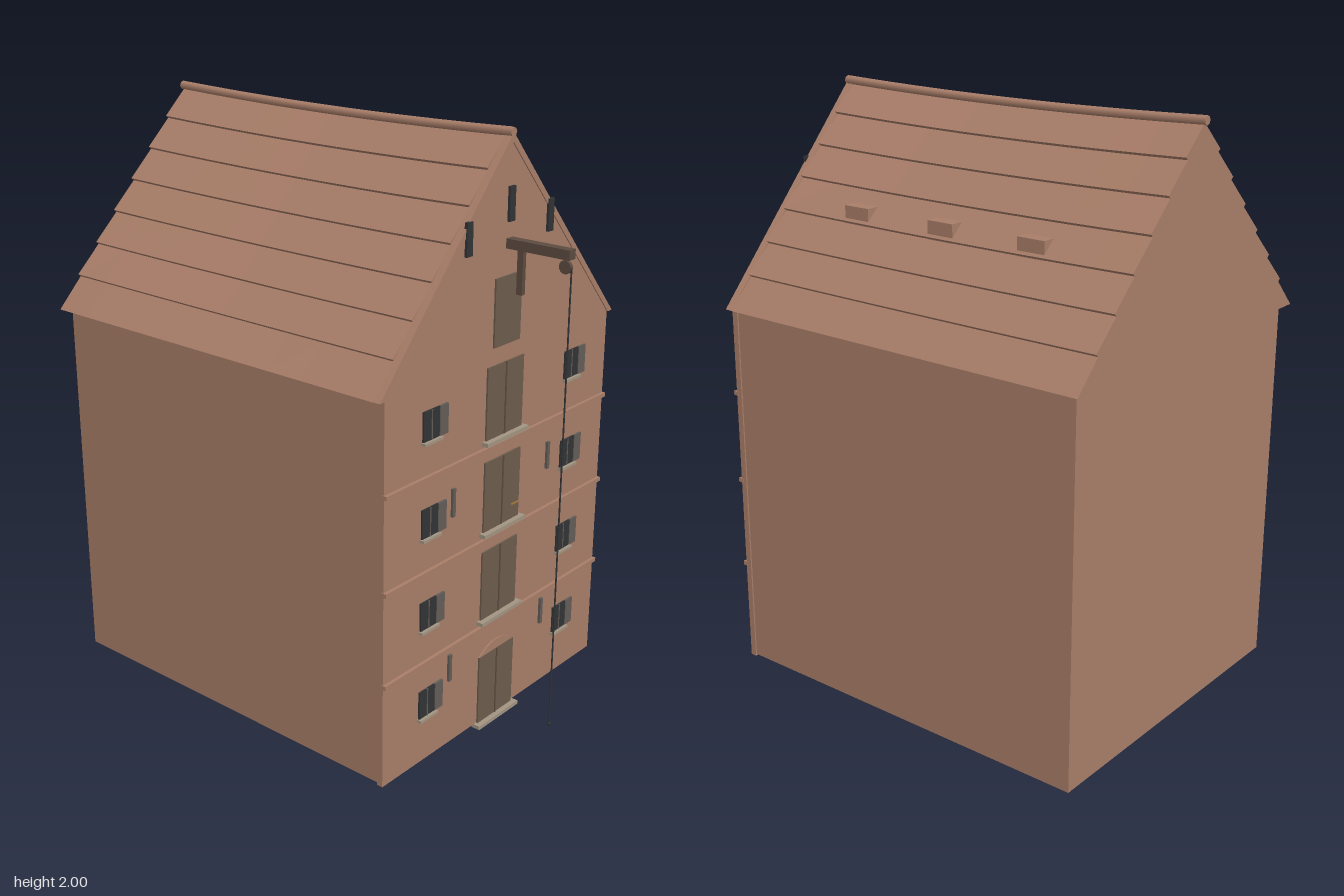
import * as THREE from 'three';

const mat = (name, color) => {
  const m = new THREE.MeshStandardMaterial({ color });
  m.name = name;
  return m;
};

export function createModel() {
  const brick = mat('brick', 0xa97e69);
  const wood = mat('door wood', 0x6d5c4d);
  const beamWood = mat('dark timber', 0x5e4c40);
  const glass = mat('dark opening', 0x313335);
  const iron = mat('grey iron', 0x635d58);
  const stone = mat('sill stone', 0xa39582);
  const brass = mat('brass', 0xa8783c);
  const group = new THREE.Group();
  const FRONT = 0.598;

  const add = (name, geometry, material) => {
    const mesh = new THREE.Mesh(geometry, material);
    mesh.name = name;
    group.add(mesh);
    return mesh;
  };
  // box given by its limits on each axis
  const box = (name, m, x0, x1, y0, y1, z0, z1) => {
    const b = add(name, new THREE.BoxGeometry(x1 - x0, y1 - y0, z1 - z0), m);
    b.position.set((x0 + x1) / 2, (y0 + y1) / 2, (z0 + z1) / 2);
    return b;
  };
  const plate = (name, m, x0, x1, y0, y1, t = 0.006) => box(name, m, x0, x1, y0, y1, FRONT - 0.002, FRONT + t);
  const outline = (pts) => new THREE.Shape(pts.map(([x, y]) => new THREE.Vector2(x, y)));
  const extrude = (shape, z0, z1, steps = 1) =>
    new THREE.ExtrudeGeometry(shape, { depth: z1 - z0, steps, bevelEnabled: false, curveSegments: 16 }).translate(0, 0, z0);

  // walls
  box('walls', brick, -0.58, 0.58, 0.02, 1.305, -0.79, 0.58);
  add('frontGableWall', extrude(outline([
    [-0.585, 0.015], [0.585, 0.015], [0.585, 1.305], [0, 1.962], [-0.585, 1.305],
  ]), 0.576, FRONT), brick);
  add('gableTrim', extrude(outline([
    [0.61, 1.3], [0, 1.985], [-0.61, 1.3], [-0.585, 1.3], [0, 1.955], [0.585, 1.3],
  ]), 0.574, 0.602), brick);

  // roof with lapped courses and a gently sagging ridge
  const Z0 = -0.815, Z1 = 0.577, COURSES = 7, LIP = 0.013;
  const sag = (y, z) => {
    const t = (z - (Z0 + Z1) / 2) / ((Z1 - Z0) / 2);
    return -0.013 * Math.max(0, (y - 1.3) / 0.68) * (1 - t * t);
  };
  const side = [];
  for (let i = 0; i < COURSES; i++) {
    const f = i / COURSES, g = (i + 1) / COURSES;
    side.push([0.602 * (1 - f) + LIP * 0.745, 1.3 + 0.678 * f + (i ? LIP * 0.667 : 0)]);
    side.push([0.602 * (1 - g), 1.3 + 0.678 * g]);
  }
  const roofShape = outline([...side, ...side.slice(0, -1).reverse().map(([x, y]) => [-x, y])]);
  const roofGeo = extrude(roofShape, Z0, Z1, 10);
  const p = roofGeo.attributes.position;
  for (let i = 0; i < p.count; i++) p.setY(i, p.getY(i) + sag(p.getY(i), p.getZ(i)));
  roofGeo.computeVertexNormals();
  add('roof', roofGeo, brick);

  const ridge = [];
  for (let i = 0; i <= 10; i++) {
    const z = -0.822 + (0.6 + 0.822) * i / 10;
    ridge.push(new THREE.Vector3(0, 1.985 + sag(1.98, z), z));
  }
  add('ridgeCap', new THREE.TubeGeometry(new THREE.CatmullRomCurve3(ridge), 20, 0.015, 8), brick);
  for (const z of [Z0 - 0.007, 0.6]) {
    const cap = add('ridgeEnd', new THREE.CylinderGeometry(0.015, 0.015, 0.004, 8), brick);
    cap.rotation.x = Math.PI / 2;
    cap.position.set(0, 1.985, z);
  }

  // small roof hatches on the left slope
  for (const z of [0.25, -0.1, -0.45]) box('roofHatch', brick, 0.29, 0.345, 1.58, 1.645, z - 0.05, z + 0.05);

  // floor bands
  for (const y of [0.372, 0.686, 1.002]) box('floorBand', brick, -0.587, 0.587, y - 0.007, y + 0.007, 0.59, 0.61);

  // loading doors with centre joint and stone threshold
  for (const [y0, y1] of [[0.015, 0.262], [0.402, 0.645], [0.717, 0.957], [1.032, 1.272]]) {
    plate('loadingDoor', wood, -0.095, 0.095, y0, y1);
    plate('doorJoint', beamWood, -0.003, 0.003, y0, y1, 0.008);
    box('threshold', stone, -0.11, 0.11, y0 - 0.013, y0, 0.59, 0.622);
  }
  plate('atticDoor', wood, -0.068, 0.068, 1.33, 1.55);
  plate('doorHandle', brass, 0.05, 0.09, 0.765, 0.77, 0.009);

  // shallow arch over the street door
  const arch = new THREE.Shape();
  arch.moveTo(0.095, 0.262);
  arch.quadraticCurveTo(0, 0.33, -0.095, 0.262);
  add('doorArch', extrude(arch, 0.59, FRONT + 0.005), brick);

  // windows, each with one open shutter
  for (const y of [0.178, 0.492, 0.806, 1.122]) {
    for (const x of [-0.41, 0.335]) {
      plate('window', glass, x, x + 0.076, y, y + 0.096);
      plate('windowBar', iron, x + 0.036, x + 0.04, y, y + 0.096, 0.008);
      plate('shutter', iron, x + 0.076, x + 0.116, y, y + 0.096, 0.008);
      box('windowSill', stone, x - 0.005, x + 0.083, y - 0.009, y, 0.59, 0.615);
    }
  }

  // wall anchors and gable slits
  for (const s of [-1, 1]) {
    for (const y of [0.25, 0.83]) plate('wallAnchor', iron, s * 0.256 - 0.007, s * 0.256 + 0.007, y, y + 0.095, 0.009);
    plate('gableSlit', glass, s * 0.21 - 0.014, s * 0.21 + 0.014, 1.648, 1.752, 0.009);
  }
  plate('gableSlit', glass, -0.014, 0.014, 1.717, 1.825, 0.009);

  // hoist: beam, post, pulley, rope and hook
  box('hoistBeam', beamWood, -0.016, 0.016, 1.635, 1.666, 0.59, 0.825);
  box('hoistPost', beamWood, -0.008, 0.008, 1.495, 1.637, 0.635, 0.656);
  const pulley = add('pulley', new THREE.CylinderGeometry(0.021, 0.021, 0.012, 16), beamWood);
  pulley.rotation.z = Math.PI / 2;
  pulley.position.set(0, 1.61, 0.804);
  const rope = add('rope', new THREE.CylinderGeometry(0.003, 0.003, 1.55, 6), glass);
  rope.position.set(0, 0.835, 0.824);
  const hook = add('hook', new THREE.SphereGeometry(0.007, 8, 6), glass);
  hook.position.set(0, 0.06, 0.824);

  return group;
}
